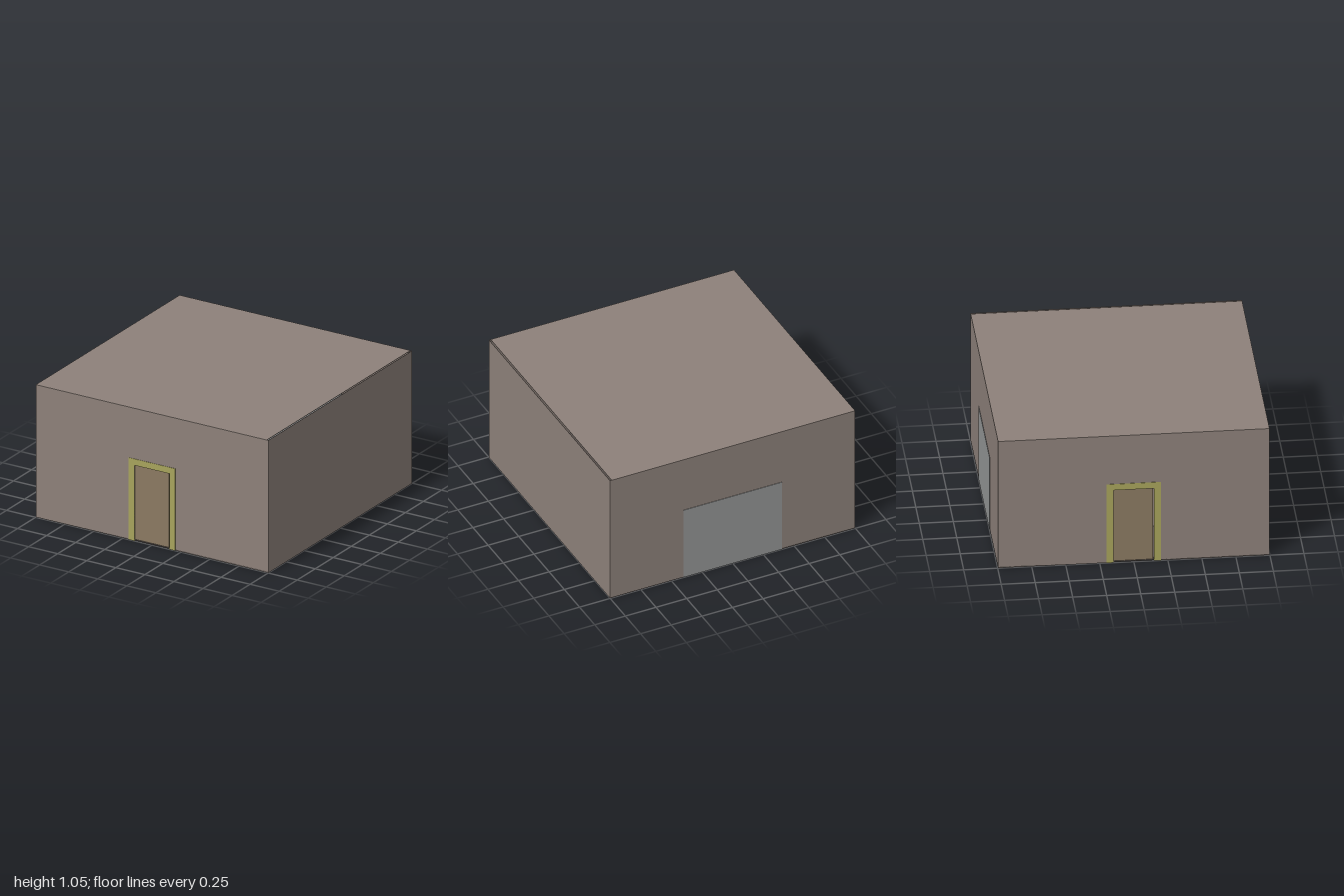
import * as THREE from 'three';

const WALL = 0x8d817a, FLOOR = 0x5c5450, FRAME = 0xa8a45c, LEAF = 0x8b7a62, SHUTTER = 0x949696;
const H = 1.05, T = 0.004, FACE = 0.997; // height, sheet thickness, outer wall face

const material = (color) => new THREE.MeshStandardMaterial({ color, side: THREE.DoubleSide });

function mesh(name, geometry, color) {
  const m = new THREE.Mesh(geometry, material(color));
  m.name = name;
  return m;
}

function box(name, [x0, x1], [y0, y1], [z0, z1], color) {
  const m = mesh(name, new THREE.BoxGeometry(x1 - x0, y1 - y0, z1 - z0), color);
  m.position.set((x0 + x1) / 2, (y0 + y1) / 2, (z0 + z1) / 2);
  return m;
}

// Upright sheet with an opening that reaches the ground; outer face at z = depth
function archSheet(name, halfW, h, openHalf, openH, depth, thick, color) {
  const s = new THREE.Shape([
    [-halfW, 0], [-openHalf, 0], [-openHalf, openH], [openHalf, openH],
    [openHalf, 0], [halfW, 0], [halfW, h], [-halfW, h],
  ].map(([x, y]) => new THREE.Vector2(x, y)));
  const g = new THREE.ExtrudeGeometry(s, { depth: thick, bevelEnabled: false });
  return mesh(name, g.translate(0, 0, depth - thick), color);
}

// Wall with a framed door, facing +z
function doorWall(name) {
  const g = new THREE.Group();
  g.name = name;
  g.add(
    archSheet('wall', FACE, H, 0.15, 0.6, FACE, T, WALL),
    archSheet('doorFrame', 0.2, 0.65, 0.15, 0.6, 1, 0.02, FRAME),
    box('doorLeaf', [-0.15, 0.143], [0.002, 0.6], [0.98, 0.99], LEAF),
  );
  return g;
}

export function createModel() {
  const model = new THREE.Group();
  model.name = 'building';

  // Front and side walls with doors
  const side = doorWall('sideDoorWall');
  side.rotation.y = -Math.PI / 2;
  model.add(doorWall('frontDoorWall'), side);

  // Back wall with wide shutter
  const back = new THREE.Group();
  back.name = 'backWall';
  back.add(
    archSheet('wall', FACE, H, 0.4, 0.6, FACE, T, WALL),
    box('shutter', [-0.4, 0.4], [0, 0.6], [0.985, 1], SHUTTER),
  );
  back.rotation.y = Math.PI;
  model.add(back);

  // Plain wall, floor, and roof that stops just short of the plain wall
  model.add(
    box('plainWall', [FACE, 1], [0, H], [-FACE, FACE], WALL),
    box('floor', [-FACE, FACE], [0.003, 0.01], [-FACE, FACE], FLOOR),
    box('roof', [-1, 0.985], [H - T, H], [-FACE, FACE], WALL),
  );

  // Rows of storage units whose bases show under the floor: x, first z, last z, count
  const rows = [
    [0.91, -0.94, 0.78, 6],
    [-0.42, -0.13, 0.97, 4],
    [-0.92, -0.94, -0.35, 2],
    [-0.92, 0.42, 0.97, 2],
  ];
  for (const [x, z0, z1, n] of rows) {
    const step = (z1 - z0) / n;
    for (let i = 0; i < n; i++) {
      const z = z0 + i * step;
      model.add(box('storageUnit', [x - 0.06, x + 0.06], [0, 0.4], [z + 0.002, z + step - 0.002], WALL));
    }
  }

  // Small stool with its foot through the floor
  const foot = mesh('stoolFoot', new THREE.CylinderGeometry(0.015, 0.03, 0.12, 8), SHUTTER);
  foot.position.set(-0.22, 0.06, -0.58);
  const seat = mesh('stoolSeat', new THREE.CylinderGeometry(0.05, 0.05, 0.02, 12), SHUTTER);
  seat.position.set(-0.22, 0.13, -0.58);
  model.add(foot, seat);

  return model;
}
